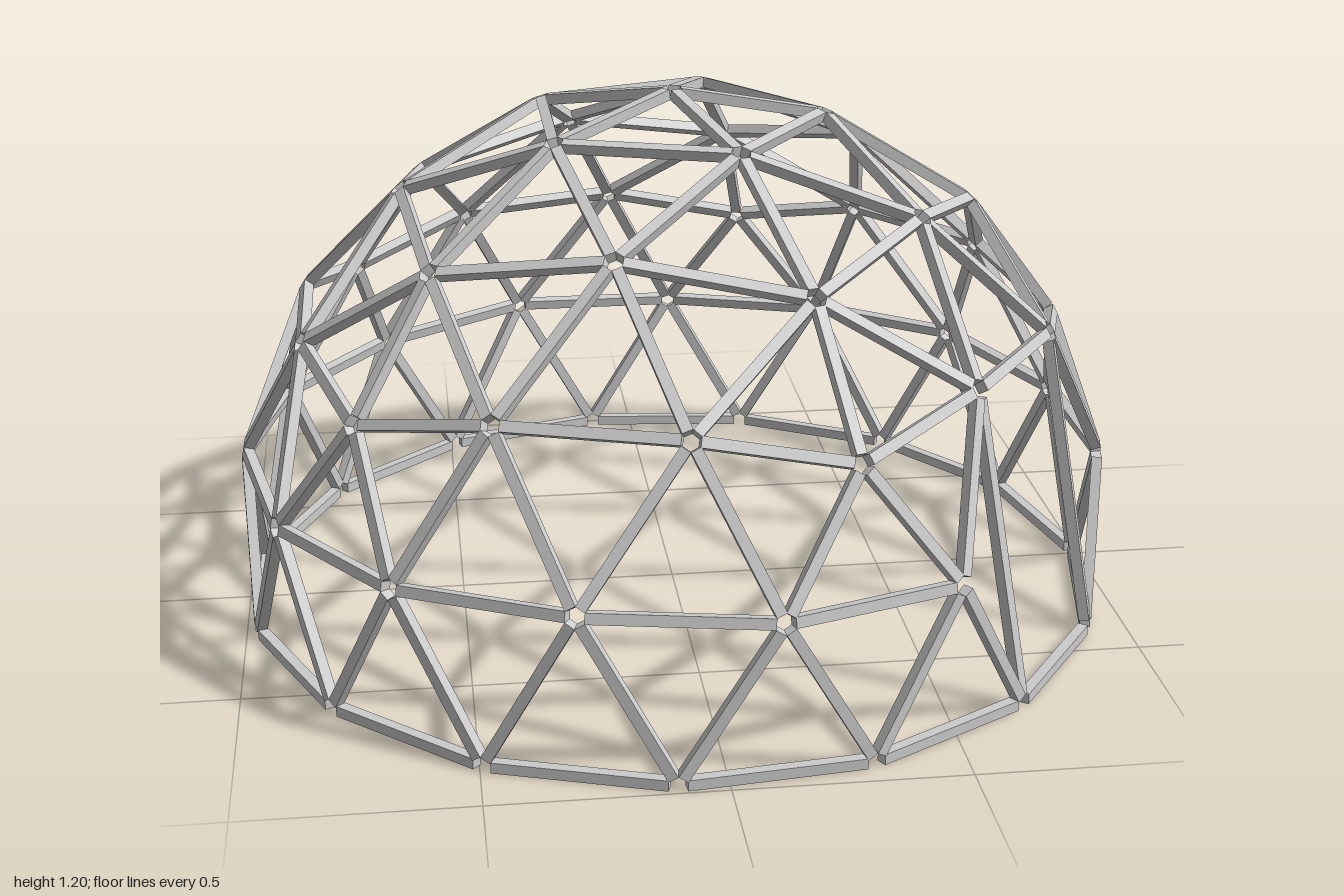
import * as THREE from 'three';

const R = 1.005;        // dome sphere radius
const CENTER_Y = 0.187; // height of the sphere centre
const WIDTH = 0.024;    // square strut section
const GAP = 0.018;      // strut ends stop short of each node
const CENTER = new THREE.Vector3(0, CENTER_Y, 0);
const FREQUENCY = 3;

// Upper faces of an icosahedron standing on a vertex
function icosahedronFaces() {
  const ring = (y, offset) => Array.from({ length: 5 }, (_, k) => {
    const a = (k * 72 + offset) * Math.PI / 180;
    return new THREE.Vector3(Math.cos(a) * 2, y, Math.sin(a) * 2).divideScalar(Math.sqrt(5));
  });
  const top = new THREE.Vector3(0, 1, 0);
  const upper = ring(1, 0), lower = ring(-1, 36);
  const faces = [];
  for (let k = 0; k < 5; k++) {
    const n = (k + 1) % 5;
    faces.push([top, upper[k], upper[n]], [upper[k], upper[n], lower[k]], [upper[n], lower[k], lower[n]]);
  }
  return faces;
}

export function createModel() {
  const group = new THREE.Group();
  const material = new THREE.MeshStandardMaterial({ color: 0xcccccc });
  const nodes = new Map();
  const edges = new Map();

  // Shared nodes on the sphere; the lowest ring is levelled, anything below is cut off
  function addNode(dir) {
    const d = dir.clone().normalize();
    if (d.y < -0.25) return null;
    const key = d.toArray().map((v) => Math.round(v * 1000) + 0).join();
    if (!nodes.has(key)) {
      const p = d.clone().multiplyScalar(R).add(CENTER);
      const base = d.y < -0.1;
      if (base) p.y = WIDTH / 2;
      const angle = Math.atan2(p.z, p.x) * 180 / Math.PI;
      const door = d.y > 0 && d.y < 0.3 && Math.abs(angle - 36) < 4;
      nodes.set(key, { key, p, base, door, angle, y: d.y });
    }
    return nodes.get(key);
  }

  function addEdge(a, b) {
    if (!a || !b || a.door || b.door) return;
    edges.set([a.key, b.key].sort().join('|'), [a, b]);
  }

  // Subdivide each face into a triangular lattice
  for (const [A, B, C] of icosahedronFaces()) {
    const at = (i, j) => addNode(new THREE.Vector3()
      .addScaledVector(A, FREQUENCY - i - j).addScaledVector(B, i).addScaledVector(C, j));
    for (let i = 0; i < FREQUENCY; i++) {
      for (let j = 0; j < FREQUENCY - i; j++) {
        const a = at(i, j), b = at(i + 1, j), c = at(i, j + 1);
        addEdge(a, b);
        addEdge(b, c);
        addEdge(c, a);
      }
    }
  }

  // Square bar between two nodes, one side facing outwards from the dome
  function strut(a, b, name) {
    const along = b.p.clone().sub(a.p);
    const length = along.length() - GAP * 2;
    along.normalize();
    const mid = a.p.clone().add(b.p).multiplyScalar(0.5);
    const out = mid.clone().sub(CENTER);
    if (a.base && b.base) out.y = 0;
    out.addScaledVector(along, -out.dot(along)).normalize();
    const side = new THREE.Vector3().crossVectors(along, out);
    const mesh = new THREE.Mesh(new THREE.BoxGeometry(WIDTH, length, WIDTH), material);
    mesh.quaternion.setFromRotationMatrix(new THREE.Matrix4().makeBasis(side, along, out));
    mesh.position.copy(mid);
    mesh.name = name;
    group.add(mesh);
  }

  for (const [a, b] of edges.values()) strut(a, b, a.base && b.base ? 'baseStrut' : 'domeStrut');

  // Doorway posts from the base ring up to the lintel strut
  const all = [...nodes.values()];
  const nearDoor = (list) => list.filter((n) => Math.abs(n.angle - 36) < 18).sort((a, b) => a.angle - b.angle);
  const feet = nearDoor(all.filter((n) => n.base));
  const heads = nearDoor(all.filter((n) => n.y > 0.4 && n.y < 0.6));
  feet.forEach((foot, i) => strut(foot, heads[i], 'doorPost'));

  group.name = 'geodesicDome';
  return group;
}
